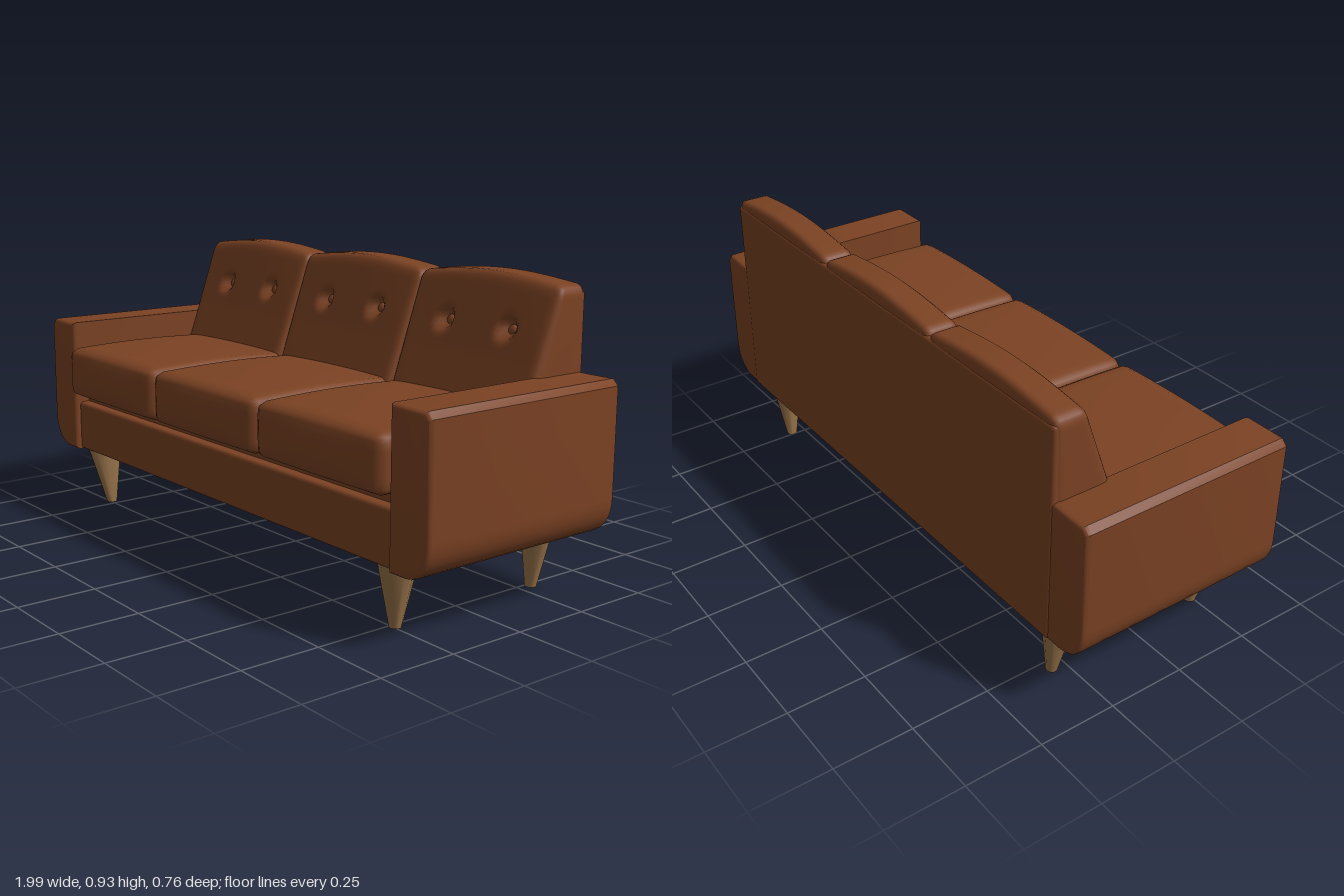
import * as THREE from 'three';
import { mergeVertices, toCreasedNormals } from 'three/addons/utils/BufferGeometryUtils.js';
import { RoundedBoxGeometry } from 'three/addons/geometries/RoundedBoxGeometry.js';

const leather = new THREE.MeshStandardMaterial({ color: 0x7b4223 });
leather.name = 'brown leather';
const wood = new THREE.MeshStandardMaterial({ color: 0x99744b });
wood.name = 'light wood';

// Box with rounded edges whose vertices are then moved by a rule
function softBox(w, h, d, r, segments, rule) {
  let geo = new THREE.BoxGeometry(w, h, d, ...segments);
  geo.deleteAttribute('uv');
  geo.deleteAttribute('normal');
  geo = mergeVertices(geo, 1e-5);
  const pos = geo.attributes.position;
  const p = new THREE.Vector3();
  const core = new THREE.Vector3();
  const limit = new THREE.Vector3(w / 2 - r, h / 2 - r, d / 2 - r);
  const low = limit.clone().negate();
  for (let i = 0; i < pos.count; i++) {
    p.fromBufferAttribute(pos, i);
    core.copy(p).clamp(low, limit);
    p.sub(core);
    if (p.lengthSq() > 0) p.setLength(r);
    p.add(core);
    rule(p);
    pos.setXYZ(i, p.x, p.y, p.z);
  }
  geo.computeVertexNormals();
  return geo;
}

export function createModel() {
  const sofa = new THREE.Group();
  sofa.name = 'sofa';
  const add = (name, geo, mat, x = 0, y = 0, z = 0) => {
    const mesh = new THREE.Mesh(geo, mat);
    mesh.name = name;
    mesh.position.set(x, y, z);
    sofa.add(mesh);
    return mesh;
  };

  // Base, deck under the cushions and flat back panel
  add('baseRail', new RoundedBoxGeometry(1.71, 0.17, 0.69, 2, 0.012), leather, 0, 0.283, -0.02);
  add('deck', new THREE.BoxGeometry(1.69, 0.1, 0.64), leather, 0, 0.4, -0.03);
  add('backPanel', new RoundedBoxGeometry(1.715, 0.69, 0.06, 2, 0.012), leather, 0, 0.543, -0.347);

  // Arms: block profile with a big round at the outer lower corner
  const bevel = 0.015;
  for (const side of [1, -1]) {
    const inner = 0.843 + bevel, outer = 0.997 - bevel;
    const bottom = 0.197 + bevel, top = 0.655 - bevel;
    const s = new THREE.Shape();
    s.moveTo(side * inner, bottom);
    s.lineTo(side * (outer - 0.075), bottom);
    s.bezierCurveTo(side * (outer - 0.025), bottom + 0.005,
      side * outer, bottom + 0.045, side * outer, bottom + 0.1);
    s.lineTo(side * outer, top - 0.01);
    s.lineTo(side * (outer - 0.01), top);
    s.lineTo(side * inner, top);
    s.closePath();
    const geo = new THREE.ExtrudeGeometry(s, {
      depth: 0.72 - 2 * bevel, bevelSize: bevel, bevelThickness: bevel,
      bevelSegments: 3, curveSegments: 8,
    });
    add(side > 0 ? 'leftArm' : 'rightArm', toCreasedNormals(geo, 0.6), leather, 0, 0, -0.374 + bevel);
  }

  // Three seat cushions with crowned tops and slightly bulging fronts
  const seat = softBox(0.556, 0.165, 0.56, 0.03, [20, 8, 20], (p) => {
    const cx = Math.cos((p.x / 0.556) * Math.PI);
    const cz = Math.cos((p.z / 0.56) * Math.PI);
    if (p.y > 0) p.y += (p.y / 0.0825) * (0.008 * Math.sqrt(Math.max(cx, 0)) + 0.008 * cz);
    if (p.z > 0.2) p.z += 0.012 * Math.max(cx, 0) * Math.cos((p.y / 0.2) * Math.PI);
  });
  for (const i of [-1, 0, 1]) add('seatCushion', seat, leather, i * 0.56, 0.483, 0.09);

  // Three raked back cushions with scalloped tops and tufted dimples
  const w = 0.574, h = 0.41, d = 0.2, midY = 0.7, backZ = -0.374;
  const tufts = [-0.127, 0.127];
  const tuftY = 0.768;
  const frontAt = (y) => -0.15 - 0.37 * (y - 0.575);
  const back = softBox(w, h, d, 0.028, [44, 32, 10], (p) => {
    const y = p.y + midY;
    const t = p.z / d + 0.5;
    let z = backZ + t * (frontAt(y) - backZ);
    if (t > 0.8) {
      for (const x of tufts) {
        const r2 = ((p.x - x) / 0.03) ** 2 + ((y - tuftY) / 0.026) ** 2;
        z -= 0.035 * Math.exp(-r2 * r2);
      }
    }
    const scallop = Math.max(Math.cos((p.x / w) * Math.PI), 0);
    p.y = y + 0.023 * scallop * Math.max(p.y / (h / 2), 0);
    p.z = z;
  });
  const button = new THREE.SphereGeometry(0.016, 12, 8);
  button.scale(1, 1, 0.5);
  for (const i of [-1, 0, 1]) {
    add('backCushion', back, leather, i * 0.573);
    for (const x of tufts) {
      add('tuftButton', button, leather, i * 0.573 + x, tuftY, frontAt(tuftY) - 0.03).rotation.x = -0.35;
    }
  }

  // Tapered legs, the outer face sloping inward to the foot
  const leg = (topR, topDz) => {
    const geo = new THREE.CylinderGeometry(1, 1, 0.205, 10);
    const pos = geo.attributes.position;
    for (let i = 0; i < pos.count; i++) {
      const isTop = pos.getY(i) > 0;
      pos.setX(i, pos.getX(i) * (isTop ? 0.052 : 0.018) + (isTop ? 0.022 : 0));
      pos.setZ(i, pos.getZ(i) * (isTop ? topR : 0.018) + (isTop ? topDz : 0));
    }
    return toCreasedNormals(geo, 0.7);
  };
  const frontLeg = leg(0.063, 0.013);
  const backLeg = leg(0.053, 0.003);
  for (const side of [1, -1]) {
    const x = side > 0 ? 0.765 : -0.782;
    for (const [name, geo, z] of [['frontLeg', frontLeg, 0.243], ['backLeg', backLeg, -0.295]]) {
      const g = geo.clone();
      // Turn the left leg round and flip its fore-aft lean to mirror it
      if (side < 0) {
        const pos = g.attributes.position, nor = g.attributes.normal;
        for (let i = 0; i < pos.count; i++) {
          pos.setX(i, -pos.getX(i));
          nor.setX(i, -nor.getX(i));
        }
        for (let i = 0; i < pos.count; i += 3) {
          for (const a of [pos, nor]) {
            const v1 = new THREE.Vector3().fromBufferAttribute(a, i + 1);
            const v2 = new THREE.Vector3().fromBufferAttribute(a, i + 2);
            a.setXYZ(i + 1, v2.x, v2.y, v2.z);
            a.setXYZ(i + 2, v1.x, v1.y, v1.z);
          }
        }
      }
      add(name, g, wood, x, 0.1025, z);
    }
  }
  return sofa;
}
